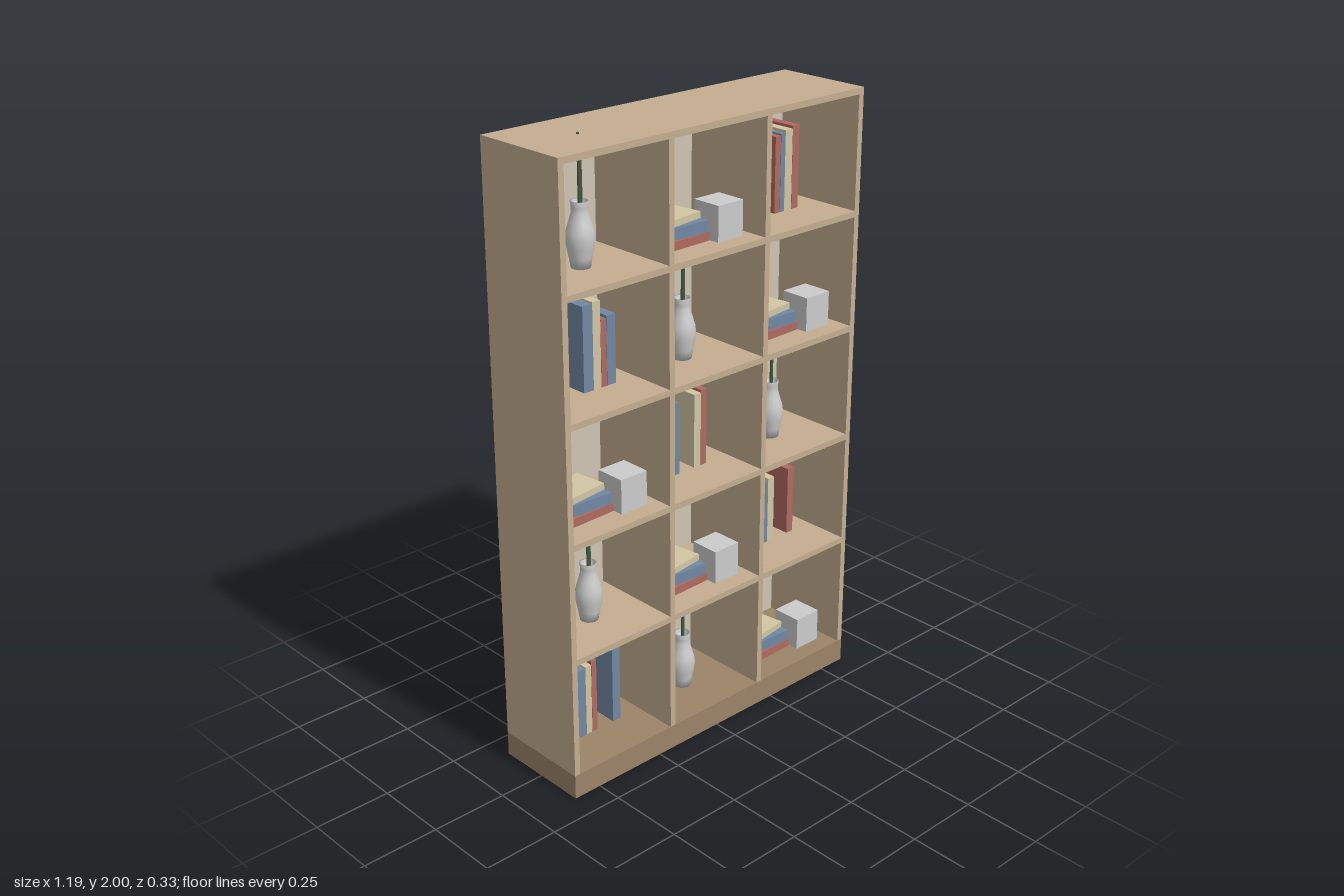
import * as THREE from 'three';

const mat = (color, side = THREE.FrontSide) =>
  new THREE.MeshStandardMaterial({ color, side, roughness: 0.85 });
const M = {
  wood: mat(0xc4ae91), base: mat(0x9b8468), back: mat(0xd0c5b4),
  red: mat(0xb06a60), blue: mat(0x7088a4), cream: mat(0xd2c6a4),
  vase: mat(0xdedede, THREE.DoubleSide), box: mat(0xdcdcdc), stem: mat(0x3f5a40),
};
const bookMats = [M.red, M.blue, M.cream];

// Overall case sizes
const HALF_W = 0.597, HALF_D = 0.165, TOP = 1.995, BASE = 0.08, T = 0.02;
const columns = [-0.39, 0, 0.39];
const floors = [1.611, 1.233, 0.857, 0.479, BASE];

// Box given by its minimum and maximum corners
function slab(parent, name, material, x0, x1, y0, y1, z0, z1) {
  const mesh = new THREE.Mesh(new THREE.BoxGeometry(x1 - x0, y1 - y0, z1 - z0), material);
  mesh.position.set((x0 + x1) / 2, (y0 + y1) / 2, (z0 + z1) / 2);
  mesh.name = name;
  parent.add(mesh);
  return mesh;
}

// Vase with two upright stems
const vaseGeometry = new THREE.LatheGeometry([
  [0, 0], [0.029, 0], [0.034, 0.03], [0.04, 0.06], [0.043, 0.085], [0.04, 0.108],
  [0.032, 0.135], [0.025, 0.16], [0.024, 0.175], [0.027, 0.193],
  [0.022, 0.193], [0.02, 0.16], [0, 0.155],
].map(([r, y]) => new THREE.Vector2(r, y)), 16);

function makeVase() {
  const g = new THREE.Group();
  g.name = 'vaseWithStems';
  const vase = new THREE.Mesh(vaseGeometry, M.vase);
  vase.name = 'vase';
  g.add(vase);
  for (const [x, z, top] of [[-0.008, 0.01, 0.389], [0.013, -0.008, 0.333]]) {
    const stem = new THREE.Mesh(new THREE.CylinderGeometry(0.004, 0.005, top - 0.13, 8), M.stem);
    stem.position.set(x, (top + 0.13) / 2, z);
    stem.name = 'stem';
    g.add(stem);
  }
  return g;
}

// Three lying books, slightly turned, beside a small box
function makeStack() {
  const g = new THREE.Group();
  g.name = 'bookStack';
  let y = 0;
  const lying = [ // width, height, depth, turn, material
    [0.225, 0.027, 0.15, 0.03, M.red],
    [0.2, 0.037, 0.135, -0.06, M.blue],
    [0.18, 0.021, 0.11, 0.13, M.cream],
  ];
  for (const [w, h, d, turn, material] of lying) {
    const book = slab(g, 'lyingBook', material, -w / 2, w / 2, y, y + h, -d / 2, d / 2);
    book.position.x = -0.062;
    book.rotation.y = turn;
    y += h;
  }
  slab(g, 'smallBox', M.box, 0.045, 0.146, 0, 0.112, 0.005, 0.107);
  return g;
}

// Standing rows per shelf, top to bottom: widths, heights, and the book before which a gap falls
const rows = [
  { w: [0.026, 0.037, 0.032, 0.024, 0.019, 0.032, 0.029],
    h: [0.212, 0.217, 0.228, 0.241, 0.246, 0.254, 0.262], gapAt: 3, gap: 0.064 },
  { w: [0.021, 0.037, 0.026, 0.021, 0.037, 0.03, 0.022, 0.034],
    h: [0.228, 0.238, 0.241, 0.249, 0.265, 0.27, 0.209, 0.217], gapAt: 4, gap: 0.058 },
  { w: [0.024, 0.034, 0.032, 0.021, 0.04, 0.029, 0.024],
    h: [0.206, 0.217, 0.222, 0.23, 0.238, 0.246, 0.254], gapAt: 5, gap: 0.061 },
  { w: [0.026, 0.037, 0.032, 0.026, 0.037, 0.029, 0.029],
    h: [0.257, 0.265, 0.204, 0.214, 0.222, 0.23, 0.235], gapAt: 6, gap: 0.064 },
  { w: [0.021, 0.037, 0.024, 0.019, 0.04, 0.024, 0.021, 0.032],
    h: [0.201, 0.209, 0.22, 0.225, 0.238, 0.243, 0.254, 0.26], gapAt: 7, gap: 0.064 },
];

function makeBookRow({ w, h, gapAt, gap }) {
  const g = new THREE.Group();
  g.name = 'standingBooks';
  let x = -0.174;
  w.forEach((width, i) => {
    if (i === gapAt) x += gap;
    slab(g, 'standingBook', bookMats[i % 3], x, x + width - 0.001, 0, h[i], -0.11, 0.015);
    x += width;
  });
  return g;
}

export function createModel() {
  const model = new THREE.Group();
  model.name = 'bookcase';

  // Plinth, top and uprights
  slab(model, 'plinth', M.base, -HALF_W, HALF_W, 0, BASE, -HALF_D, HALF_D);
  slab(model, 'topPanel', M.wood, -HALF_W, HALF_W, TOP - T, TOP, -HALF_D, HALF_D);
  for (const s of [-1, 1]) {
    const side = s * (HALF_W - T / 2), divider = s * 0.193;
    slab(model, 'sidePanel', M.wood, side - T / 2, side + T / 2, BASE, TOP - T, -HALF_D, HALF_D);
    slab(model, 'divider', M.wood, divider - T / 2, divider + T / 2, BASE, TOP - T, -HALF_D, HALF_D);
  }

  // Back panels and shelves in each column
  const edges = [[-0.577, -0.203], [-0.183, 0.183], [0.203, 0.577]];
  for (const [x0, x1] of edges) {
    slab(model, 'backPanel', M.back, x0, x1, BASE, TOP - T, -0.164, -0.152);
    for (const y of floors.slice(0, 4))
      slab(model, 'shelf', M.wood, x0, x1, y - T, y, -0.152, HALF_D);
  }

  // Contents shift one column along on every shelf
  floors.forEach((y, r) => columns.forEach((x, c) => {
    const kind = (c - r + 6) % 3;
    const item = kind === 0 ? makeVase() : kind === 1 ? makeStack() : makeBookRow(rows[r]);
    item.position.set(x, y, 0);
    model.add(item);
  }));
  return model;
}
